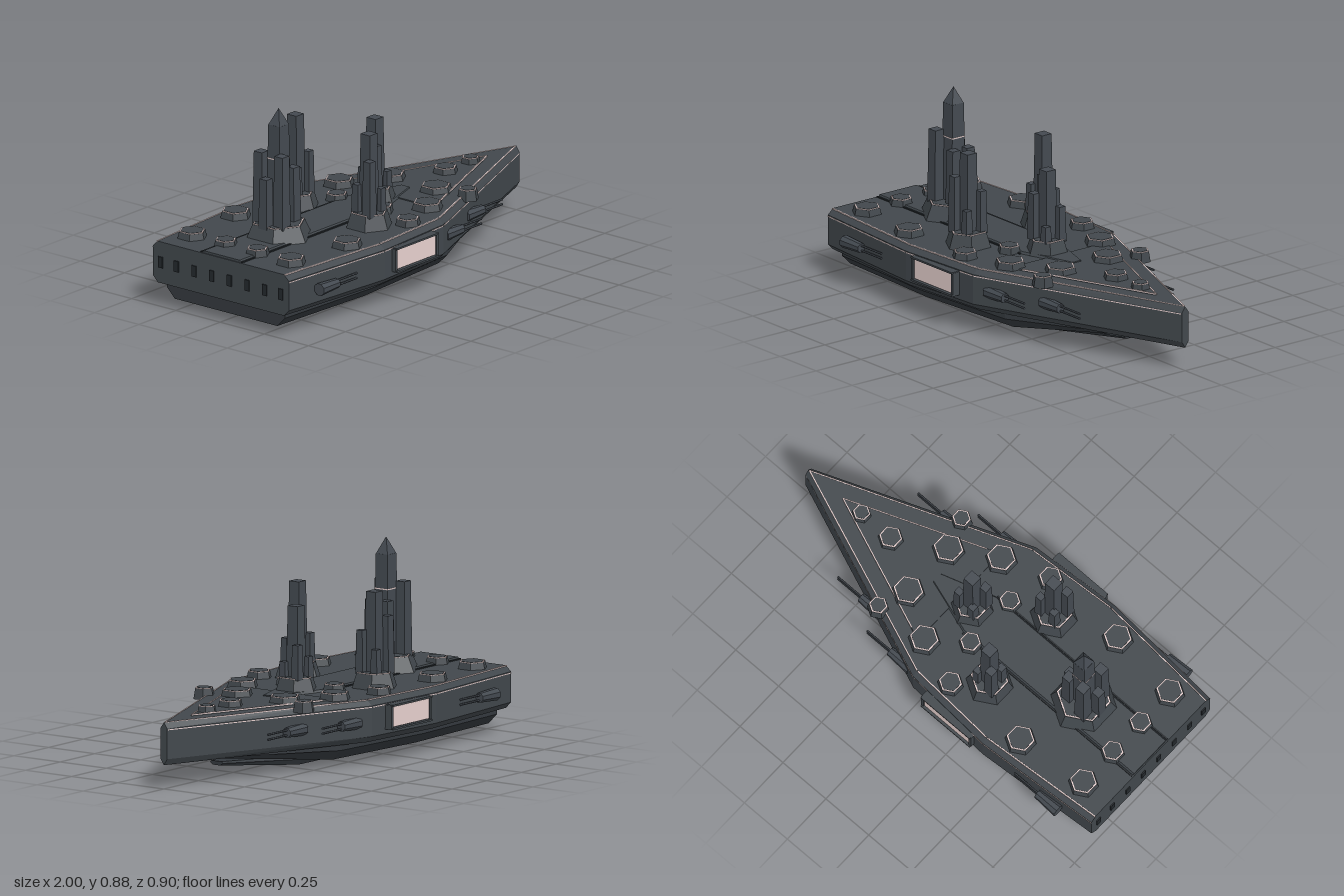
import * as THREE from 'three';

const flat = (name, color) => {
  const m = new THREE.MeshStandardMaterial({ color, flatShading: true });
  m.name = name;
  return m;
};

export function createModel() {
  const hullMat = flat('hull grey', 0x41474c);
  const lowerMat = flat('lower hull grey', 0x34393e);
  const towerMat = flat('tower grey', 0x434950);
  const darkMat = flat('dark recess', 0x23282c);
  const glowMat = flat('pale pink light', 0xecd5d3);
  const root = new THREE.Group();

  const add = (name, geo, mat, x = 0, y = 0, z = 0, parent = root) => {
    const m = new THREE.Mesh(geo, mat);
    m.name = name;
    m.position.set(x, y, z);
    parent.add(m);
    return m;
  };
  const box = (name, mat, w, h, d, x, y, z, parent) =>
    add(name, new THREE.BoxGeometry(w, h, d), mat, x, y, z, parent);

  // Skin cross-sections along x; each station is [x, half section as [z, y] from bottom to top]
  function loft(name, stations, mat) {
    const rings = stations.map(([x, half]) =>
      [...half, ...half.map(([z, y]) => [-z, y]).reverse()].map(([z, y]) => [x, y, z]));
    const pos = [], n = rings[0].length;
    const tri = (...p) => p.forEach(v => pos.push(...v));
    for (let s = 0; s < rings.length - 1; s++) {
      for (let i = 0; i < n; i++) {
        const j = (i + 1) % n, A = rings[s], B = rings[s + 1];
        tri(A[i], B[i], B[j]);
        tri(A[i], B[j], A[j]);
      }
    }
    const first = rings[0], last = rings[rings.length - 1];
    for (let i = 1; i < n - 1; i++) {
      tri(first[0], first[i], first[i + 1]);
      tri(last[0], last[i + 1], last[i]);
    }
    const g = new THREE.BufferGeometry();
    g.setAttribute('position', new THREE.Float32BufferAttribute(pos, 3));
    g.computeVertexNormals();
    return add(name, g, mat);
  }

  // Thin light strip between two points
  function strip(name, a, b, mat = glowMat, t = 0.005) {
    const A = new THREE.Vector3(...a), B = new THREE.Vector3(...b);
    const m = box(name, mat, t, t, A.distanceTo(B), 0, 0, 0);
    m.position.copy(A).add(B).multiplyScalar(0.5);
    m.lookAt(B);
  }

  // Main hull
  const plan = [[-0.995, 0.385], [-0.4, 0.428], [0.03, 0.4], [1, 0.018]];
  loft('mainHull', plan.map(([x, w]) => {
    const c = Math.min(0.028, w);
    return [x, [[w - c, 0.105], [w, 0.133], [w, 0.268], [w - c, 0.293]]];
  }), hullMat);

  // Lower hull and keel
  loft('lowerHull', [[-0.96, 0.335, 0.035], [-0.4, 0.36, 0.035], [0.15, 0.32, 0.035], [0.75, 0.05, 0.1]]
    .map(([x, w, b]) => [x, [[w - 0.045, b], [w, Math.max(0.08, b + 0.004)], [w, 0.112]]]), lowerMat);
  loft('keel', [[-0.86, 0.13, 0, 0.042], [-0.35, 0.143, 0, 0.042], [0.18, 0.13, 0, 0.042], [0.62, 0.035, 0.05, 0.068]]
    .map(([x, w, b, t]) => [x, [[w - 0.015, b], [w, b + (t - b) * 0.6], [w - 0.008, t]]]), lowerMat);

  // Raised central deck and forward deck
  loft('centralDeck', [[-0.99, 0.11], [0.0, 0.11], [0.25, 0.03]]
    .map(([x, w]) => [x, [[w, 0.29], [w - 0.008, 0.303]]]), hullMat);
  loft('forwardDeck', [[0.12, 0.272], [0.8, 0.004]]
    .map(([x, w]) => [x, [[w, 0.29], [w - 0.004, 0.298]]]), hullMat);

  for (const s of [-1, 1]) {
    // Light lines along the deck edge, hull side and forward deck
    for (let i = 0; i < plan.length - 1; i++) {
      const [x0, w0] = plan[i], [x1, w1] = plan[i + 1];
      const e = w => s * Math.max(w - 0.025, 0);
      strip('deckEdgeLight', [x0, 0.292, e(w0)], [x1 - 0.005, 0.292, e(w1)]);
      strip('sideLight', [x0, 0.262, s * w0], [x1 - 0.005, 0.262, s * w1], glowMat, 0.004);
    }
    strip('forwardDeckLight', [0.18, 0.298, s * 0.244], [0.8, 0.298, 0]);
    strip('deckGroove', [-0.99, 0.294, s * 0.114], [0, 0.294, s * 0.114], darkMat, 0.008);

    // Side hangar window with frame
    box('hangarWindow', glowMat, 0.26, 0.088, 0.008, -0.2, 0.208, s * 0.434);
    box('hangarBack', darkMat, 0.28, 0.11, 0.03, -0.2, 0.208, s * 0.415);
    for (const y of [0.157, 0.26]) box('hangarFrame', hullMat, 0.285, 0.008, 0.045, -0.2, y, s * 0.427);
    for (const x of [-0.339, -0.062]) box('hangarFrame', hullMat, 0.014, 0.105, 0.035, x, 0.208, s * 0.426);

    // Side gun turrets
    for (const [x, z] of [[-0.775, 0.422], [0.14, 0.36], [0.4, 0.26]]) {
      const gun = new THREE.Group();
      gun.name = 'sideTurret';
      gun.position.set(x, 0.197, s * z);
      root.add(gun);
      const body = new THREE.CylinderGeometry(0.022, 0.029, 0.12, 8);
      body.rotateY(Math.PI / 8).rotateZ(-Math.PI / 2);
      add('turretBody', body, towerMat, 0, 0, 0, gun);
      for (const y of [-0.011, 0.011]) {
        const barrel = new THREE.CylinderGeometry(0.005, 0.005, 0.15, 6);
        barrel.rotateZ(Math.PI / 2);
        add('turretBarrel', barrel, towerMat, 0.12, y, 0, gun);
      }
    }

    // Stern exhaust slots
    for (const z of [0.05, 0.15, 0.25, 0.34])
      box('sternSlot', darkMat, 0.008, 0.05, 0.025, -0.996, 0.2, s * z);
  }

  // Six-sided platform with a light rim
  function platform(name, x, z, r, y0, y1, topScale) {
    const g = new THREE.Group();
    g.name = name;
    g.position.set(x, 0, z);
    root.add(g);
    const h = y1 - y0, top = r * topScale;
    add('platformBase', new THREE.CylinderGeometry(top, r, h, 6), hullMat, 0, (y0 + y1) / 2, 0, g);
    add('platformLight', new THREE.CylinderGeometry(top * 0.98, top * 0.98, 0.003, 6), glowMat, 0, y1 + 0.001, 0, g);
    add('platformTop', new THREE.CylinderGeometry(top * 0.98 - 0.006, top * 0.98 - 0.006, 0.004, 6), hullMat, 0, y1 + 0.002, 0, g);
    return g;
  }

  // Deck platforms [x, z, radius], mirrored when off the centreline
  const pads = [[-0.855, 0.28, 0.072], [-0.855, 0.09, 0.058], [-0.52, 0.315, 0.075], [-0.12, 0.325, 0.062],
    [-0.06, 0.128, 0.056], [0.1, 0.25, 0.077], [0.3, 0.13, 0.08], [0.35, 0.27, 0.05], [0.52, 0, 0.062], [0.69, 0, 0.047]];
  for (const [x, z, r] of pads)
    for (const s of z ? [-1, 1] : [1]) platform('deckPlatform', x, s * z, r, 0.275, 0.322, 0.84);

  // Tapered square tower block
  function block(g, x, z, w, top, y0 = 0.35) {
    const geo = new THREE.CylinderGeometry(w * 0.707, w * 0.85, top - y0, 4);
    geo.rotateY(Math.PI / 4);
    add('towerBlock', geo, towerMat, x, (top + y0) / 2, z, g);
  }

  // Main tower with spire
  const main = platform('mainTower', -0.605, 0, 0.155, 0.285, 0.36, 0.78);
  block(main, 0, 0, 0.064, 0.805);
  const spire = new THREE.ConeGeometry(0.045, 0.074, 4);
  spire.rotateY(Math.PI / 4);
  add('spire', spire, towerMat, 0, 0.841, 0, main);
  box('spireLight', glowMat, 0.071, 0.005, 0.071, 0, 0.652, 0, main);
  for (const s of [-1, 1]) {
    block(main, -0.048, s * 0.058, 0.046, 0.683);
    block(main, 0.05, s * 0.04, 0.042, 0.607);
  }
  block(main, -0.085, 0, 0.04, 0.577);
  block(main, 0.08, 0, 0.036, 0.535);

  // Twin side towers and the forward tower
  const cluster = (g, s, tops) => {
    block(g, 0, 0, 0.052, tops[0]);
    block(g, -0.043, s * 0.038, 0.038, tops[1]);
    block(g, 0.042, -s * 0.038, 0.032, tops[2]);
    block(g, -0.036, -s * 0.036, 0.032, tops[2] - 0.06);
    block(g, 0.036, s * 0.036, 0.03, tops[2] - 0.08);
  };
  for (const s of [-1, 1])
    cluster(platform('sideTower', -0.243, s * 0.208, 0.108, 0.285, 0.358, 0.78), s, [0.714, 0.605, 0.545]);
  cluster(platform('forwardTower', 0.045, 0, 0.1, 0.285, 0.355, 0.78), 1, [0.67, 0.56, 0.505]);

  return root;
}
